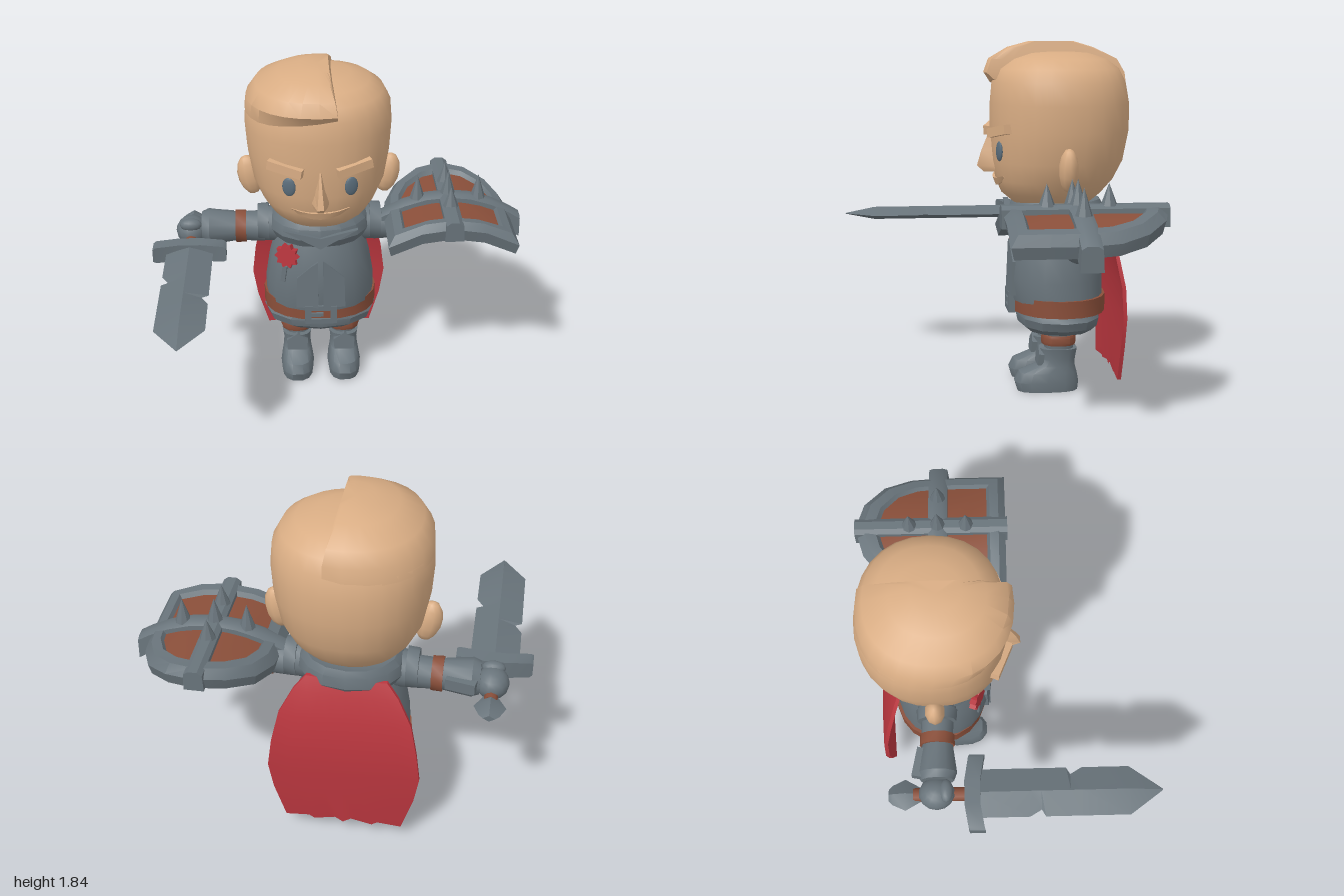
import * as THREE from 'three';
import { toCreasedNormals } from 'three/addons/utils/BufferGeometryUtils.js';

const mat = (name, color, extra = {}) => Object.assign(new THREE.MeshStandardMaterial({ color, ...extra }), { name });
const CX = -0.1; // body centre line

// Skin through equal-length loops of [x,y,z]; closed = last loop joins the first, otherwise ends are capped.
function loft(loops, closed = false, crease = 0.6) {
  const pos = [];
  const tri = (a, b, c) => pos.push(...a, ...b, ...c);
  const m = loops[0].length, n = loops.length;
  for (let i = 0; i < (closed ? n : n - 1); i++) for (let j = 0; j < m; j++) {
    const p = loops[i], q = loops[(i + 1) % n], k = (j + 1) % m;
    tri(p[j], p[k], q[k]);
    tri(p[j], q[k], q[j]);
  }
  if (!closed) [0, n - 1].forEach((e) => {
    const l = loops[e], c = [0, 1, 2].map((a) => l.reduce((s, p) => s + p[a], 0) / m);
    l.forEach((p, j) => (e ? tri(c, p, l[(j + 1) % m]) : tri(c, l[(j + 1) % m], p)));
  });
  // turn the faces outward
  let vol = 0;
  for (let i = 0; i < pos.length; i += 9) {
    const [a, b, c] = [0, 3, 6].map((o) => new THREE.Vector3(...pos.slice(i + o, i + o + 3)));
    vol += a.dot(b.cross(c));
  }
  if (vol < 0) for (let i = 0; i < pos.length; i += 9) for (let k = 0; k < 3; k++)
    [pos[i + 3 + k], pos[i + 6 + k]] = [pos[i + 6 + k], pos[i + 3 + k]];
  const g = new THREE.BufferGeometry();
  g.setAttribute('position', new THREE.Float32BufferAttribute(pos, 3));
  return toCreasedNormals(g, crease);
}

// Stacked superellipse rows: [y, half width, front z, back z]
const rowLoop = ([y, a, zf, zb], cx, seg, n) => Array.from({ length: seg }, (_, i) => {
  const t = (i / seg) * Math.PI * 2, c = Math.cos(t), s = Math.sin(t), e = 2 / n;
  return [cx + a * Math.sign(c) * Math.abs(c) ** e, y, (zf + zb) / 2 + ((zf - zb) / 2) * Math.sign(s) * Math.abs(s) ** e];
});
const stack = (rows, { cx = CX, seg = 20, n = 2.2, crease = 0.6 } = {}) =>
  loft(rows.map((r) => rowLoop(r, cx, seg, n)), false, crease);

const HEAD = [[0.98, 0.13, -0.2, -0.45], [1.0, 0.2, -0.12, -0.53], [1.05, 0.255, -0.06, -0.59], [1.12, 0.305, -0.03, -0.65],
  [1.22, 0.35, -0.01, -0.7], [1.38, 0.378, 0, -0.73], [1.52, 0.387, 0, -0.73], [1.63, 0.378, -0.01, -0.71],
  [1.7, 0.34, -0.04, -0.675], [1.75, 0.27, -0.11, -0.61], [1.78, 0.17, -0.2, -0.52], [1.79, 0.05, -0.3, -0.42]];
// front surface of the face
function faceZ(x, y) {
  const i = HEAD.findIndex((r) => r[0] > y), p = HEAD[i - 1], q = HEAD[i], t = (y - p[0]) / (q[0] - p[0]);
  const [, a, f, b] = p.map((v, k) => v + (q[k] - v) * t);
  return (f + b) / 2 + ((f - b) / 2) * (1 - Math.abs((x - CX) / a) ** 2.2) ** (1 / 2.2);
}

export function createModel() {
  const skin = mat('skin', 0xd9ad84), steel = mat('steel', 0x69747b), leather = mat('leather', 0x8a4f3a);
  const red = mat('red cloth', 0xb9363e), eyeMat = mat('eye', 0x5a6d7b);
  const root = new THREE.Group();
  const add = (name, geo, m, p = [0, 0, 0], r = [0, 0, 0], s = [1, 1, 1]) => {
    const o = new THREE.Mesh(geo, m);
    o.name = name;
    o.position.set(...p);
    o.rotation.set(...r);
    o.scale.set(...s);
    root.add(o);
    return o;
  };
  const box = (w, h, d) => new THREE.BoxGeometry(w, h, d);
  const ball = new THREE.SphereGeometry(1, 14, 10);
  const extrude = (pts, depth) => new THREE.ExtrudeGeometry(
    new THREE.Shape(pts.map((p) => new THREE.Vector2(...p))), { depth, bevelEnabled: false });

  // Head and side-parted hair
  add('head', stack(HEAD, { seg: 28, crease: 0.8 }), skin);
  const hair = [[1.6, 0.384, 0.0, -0.715], [1.68, 0.374, 0.035, -0.705], [1.75, 0.325, 0.01, -0.665], [1.81, 0.21, -0.09, -0.54], [1.84, 0.09, -0.2, -0.44]];
  add('hair', loft(hair.map((r) => rowLoop(r, CX, 28, 2.2).map(([x, y, z]) => {
    const px = Math.min(x, -0.01 - Math.max(0, y - 1.7) * 0.25);
    return [px, y === 1.6 && z > -0.3 ? y + 0.05 * Math.max(0, (px + 0.4) / 0.4) : y, z];
  })), false, 0.7), skin);
  add('nose', loft([[1.16, 0.05, 0.035], [1.19, 0.058, 0.068], [1.27, 0.035, 0.045], [1.37, 0.012, 0.005]].map(([y, w, z]) =>
    [[CX - w, y, -0.06], [CX + w, y, -0.06], [CX + w * 0.3, y, z], [CX - w * 0.3, y, z]])), skin);
  // smiling mouth, swept over the face
  add('mouth', loft([-0.155, -0.1, -0.05, 0, 0.05, 0.1, 0.155].map((d) => {
    const x = CX + d, k = 1 - (d / 0.16) ** 2, z = faceZ(x, 1.11), t = 1.13 + 0.02 * (1 - k), b = t - 0.012 - 0.03 * k;
    return [[x, b, z - 0.06], [x, b, z + 0.004], [x, t, z + 0.02], [x, t, z - 0.06]];
  })), skin);
  for (const s of [-1, 1]) {
    const ex = CX + s * 0.16, bx = CX + s * 0.175;
    add('eye', ball, eyeMat, [ex, 1.28, faceZ(ex, 1.28) + 0.002], [0, s * 0.3, 0], [0.036, 0.052, 0.012]);
    add('eyebrow', box(0.19, 0.048, 0.05), skin, [bx, 1.385, faceZ(bx, 1.385)], [0, s * 0.38, s * 0.17]);
    add('ear', new THREE.SphereGeometry(1, 10, 7), skin, [CX + s * 0.37, 1.2, -0.36], [0, 0, -s * 0.2], [0.065, 0.115, 0.05]);
  }

  // Torso, collar, belt and skirt
  add('torso', stack([[0.48, 0.3, -0.11, -0.6], [0.6, 0.298, -0.09, -0.6], [0.74, 0.275, -0.105, -0.595], [0.85, 0.245, -0.13, -0.58], [0.95, 0.2, -0.17, -0.54]]), steel);
  add('collar', stack([[0.87, 0.25, -0.13, -0.58], [0.92, 0.275, -0.1, -0.61], [0.98, 0.265, -0.105, -0.605], [1.015, 0.235, -0.13, -0.585], [1.0, 0.19, -0.17, -0.54]], { seg: 16 }), steel);
  add('collarPoint', extrude([[-0.2, 0.05], [0, -0.06], [0.2, 0.05], [0, 0.0]], 0.03), steel, [CX, 0.94, -0.115], [-0.1, 0, 0]);
  add('belt', stack([[0.42, 0.312, -0.115, -0.615], [0.51, 0.312, -0.115, -0.615]]), leather);
  add('skirt', stack([[0.31, 0.23, -0.19, -0.55], [0.345, 0.295, -0.15, -0.58], [0.39, 0.313, -0.14, -0.59], [0.43, 0.28, -0.15, -0.58]], { seg: 12 }), steel);
  for (const s of [-1, 1]) {
    add('coatFlap', extrude([[s * 0.01, 0], [s * 0.13, 0], [s * 0.125, 0.18], [s * 0.05, 0.25], [s * 0.01, 0.28]], 0.04), steel, [CX, 0.51, -0.125], [-0.04, s * 0.12, 0]);
    add('buckleSide', box(0.035, 0.11, 0.04), steel, [CX + s * 0.07, 0.465, -0.11]);
    add('buckleBar', box(0.175, 0.028, 0.04), steel, [CX, 0.465 + s * 0.041, -0.11]);
  }
  add('bucklePlate', box(0.12, 0.07, 0.02), leather, [CX, 0.465, -0.113]);
  add('bucklePin', box(0.075, 0.022, 0.035), steel, [CX - 0.025, 0.465, -0.108]);

  // Rosette with two ribbon tails
  const star = Array.from({ length: 20 }, (_, i) => {
    const r = i % 2 ? 0.052 : 0.07, t = (i / 20) * Math.PI * 2;
    return [r * Math.cos(t), r * Math.sin(t)];
  });
  add('rosette', extrude(star, 0.035), red, [-0.27, 0.805, -0.175], [-0.1, -0.4, 0]);
  for (const s of [-1, 1]) add('ribbonTail', box(0.025, 0.1, 0.012), steel, [-0.28 + s * 0.018, 0.7, -0.15], [0, -0.4, s * 0.15]);

  // Cape with a ragged hem
  const cape = [[0.95, 0.2, -0.555], [0.88, 0.26, -0.585], [0.75, 0.33, -0.625], [0.59, 0.365, -0.655], [0.43, 0.385, -0.66], [0.28, 0.36, -0.655], [0.1, 0.3, -0.65]];
  add('cape', loft(cape.map(([y, w, z], i) => {
    const side = (o) => Array.from({ length: 9 }, (_, j) => {
      const u = j / 4 - 1, hem = i === 6 ? (j % 2 ? 0.035 : -0.015) : 0;
      return [CX + w * u, y + hem, z + o - 0.012 * (1 - u * u)];
    });
    return [...side(0.01), ...side(-0.01).reverse()];
  })), red);

  // Legs and boots
  for (const s of [-1, 1]) {
    const cx = CX + s * 0.133;
    add('leg', stack([[0.18, 0.07, -0.28, -0.43], [0.36, 0.085, -0.27, -0.44]], { cx, seg: 12 }), steel);
    add('legStrap', stack([[0.25, 0.088, -0.263, -0.443], [0.262, 0.092, -0.26, -0.446], [0.29, 0.092, -0.26, -0.446], [0.302, 0.088, -0.263, -0.443]], { cx, seg: 12 }), leather);
    add('boot', stack([[0, 0.088, -0.13, -0.455], [0.05, 0.094, -0.115, -0.46], [0.1, 0.085, -0.14, -0.45], [0.135, 0.078, -0.23, -0.44], [0.17, 0.075, -0.255, -0.44], [0.23, 0.084, -0.25, -0.45]], { cx, seg: 14, n: 2.7, crease: 0.7 }), steel);
    add('bootFlap', extrude([[-0.055, 0], [0.055, 0], [0.06, 0.06], [0, 0.1], [-0.06, 0.06]], 0.03), steel, [cx, 0.14, -0.265], [-0.1, 0, 0]);
  }

  // Arms, stretched sideways: each piece runs between two distances from the centre line
  for (const s of [-1, 1]) {
    const limb = (name, d0, d1, r0, r1, m, y = 0.885) =>
      add(name, toCreasedNormals(new THREE.CylinderGeometry(r1, r0, d1 - d0, 12), 0.7), m, [CX + s * (d0 + d1) / 2, y, -0.365], [0, 0, -s * Math.PI / 2]);
    limb('shoulder', 0.19, 0.3, 0.1, 0.095, steel, 0.9);
    limb('shoulderRing', 0.275, 0.335, 0.105, 0.1, steel, 0.91);
    limb('upperArm', 0.3, 0.42, 0.085, 0.08, steel);
    limb('armStrap', 0.4, 0.457, 0.088, 0.09, leather);
    limb('cuff', 0.457, 0.6, 0.08, 0.1, steel);
    limb('cuffEnd', 0.6, 0.64, 0.1, 0.085, steel);
    add('hand', ball, steel, [CX + s * 0.7, 0.865, -0.37], [0, 0, 0], [0.085, 0.078, 0.092]);
    add('cuffPoint', box(0.15, 0.06, 0.05), steel, [CX + s * 0.55, 0.9, -0.455], [0, s * 0.2, 0]);
    add('thumb', ball, steel, [CX + s * 0.7, 0.92, -0.32], [0, 0, 0], [0.06, 0.035, 0.035]);
  }
  add('fingers', ball, steel, [0.68, 0.89, -0.37], [0, 0, 0.4], [0.08, 0.045, 0.075]);

  // Sword pointing forward
  const SX = -0.8, SY = 0.838;
  const blade = [[-0.16, 0.125, 0.125], [0.1, 0.125, 0.125], [0.16, 0.09, 0.125], [0.18, 0.125, 0.125], [0.29, 0.125, 0.125], [0.31, 0.125, 0.09], [0.37, 0.125, 0.125], [0.61, 0.125, 0.125], [0.78, 0.003, 0.003]];
  add('blade', loft(blade.map(([z, l, r]) => {
    const h = z > 0.7 ? 0.002 : 0.036;
    return [[SX - l, SY, z], [SX, SY - h, z], [SX + r, SY, z], [SX, SY + h, z]];
  }), false, 0.2), steel);
  add('guard', loft([[-0.195, -0.165, 0.035], [-0.18, -0.17, 0.045], [-0.06, -0.19, 0.048], [0.06, -0.19, 0.048], [0.18, -0.17, 0.045], [0.195, -0.165, 0.035]].map(([d, z, h]) =>
    [[SX + d, SY - h, z - 0.04], [SX + d, SY - h, z + 0.04], [SX + d, SY + h, z + 0.04], [SX + d, SY + h, z - 0.04]])), steel);
  add('grip', new THREE.CylinderGeometry(0.035, 0.035, 0.3, 10), leather, [SX, SY, -0.34], [Math.PI / 2, 0, 0]);
  add('pommel', loft([[-0.615, 0.03], [-0.595, 0.05], [-0.53, 0.08], [-0.45, 0.035]].map(([z, w]) =>
    [[SX - w, SY, z], [SX, SY - w * 0.6, z], [SX + w, SY, z], [SX, SY + w * 0.6, z]])), steel);

  // Shield lying over the left hand, arched across x
  const HX = 0.6, HZ = -0.35, arch = (d) => 1.02 - 0.85 * d * d;
  const half = [[0.17, 0.01], [0.345, 0.01], [0.345, -0.16], [0.345, -0.35], [0.33, -0.5], [0.27, -0.64], [0.15, -0.745]];
  const outline = [[0, 0.01], ...half, [0, -0.79], ...half.map(([d, z]) => [-d, z]).reverse()];
  const at = ([d, z], k, dy) => [HX + d * k, arch(d * k) + dy, HZ + (z - HZ) * k];
  const slab = (k, top, bot) => loft([[0.01, top], [k / 3, top], [k * 2 / 3, top], [k, top], [k, bot], [k * 2 / 3, bot], [k / 3, bot], [0.01, bot]]
    .map(([q, dy]) => outline.map((p) => at(p, q, dy))));
  add('shieldBack', slab(0.88, 0, -0.04), steel);
  add('shieldPanel', slab(0.75, 0.02, 0.002), leather);
  add('shieldRim', loft(outline.map((p) => [at(p, 0.96, -0.05), at(p, 1, 0.015), at(p, 0.9, 0.05), at(p, 0.77, 0.045), at(p, 0.71, 0.01), at(p, 0.75, -0.045)]), true, 0.4), steel);
  add('shieldCrossBand', loft([-0.36, -0.24, -0.12, 0, 0.12, 0.24, 0.34, 0.4].map((d) => {
    const y = arch(d), lo = Math.abs(d) > 0.3 ? -0.06 : -0.03;
    return [[HX + d, y + lo, HZ - 0.055], [HX + d, y + lo, HZ + 0.055], [HX + d, y + 0.045, HZ + 0.05], [HX + d, y + 0.06, HZ + 0.025], [HX + d, y + 0.06, HZ - 0.025], [HX + d, y + 0.045, HZ - 0.05]];
  })), steel);
  add('shieldLongBand', loft([0.02, -0.79].map((z) =>
    [[HX - 0.05, 0.97, z], [HX + 0.05, 0.97, z], [HX + 0.046, 1.06, z], [HX + 0.022, 1.078, z], [HX - 0.022, 1.078, z], [HX - 0.046, 1.06, z]])), steel);
  for (const [d, z] of [[0, 0], [0.165, 0], [-0.165, 0], [0, 0.15], [0, -0.15]]) {
    const y = arch(d) + 0.05, top = d || z ? 1.18 : 1.2;
    add('spike', toCreasedNormals(new THREE.ConeGeometry(0.042, top - y, 8), 0.3), steel, [HX + d, (y + top) / 2, HZ + z]);
  }
  return root;
}
